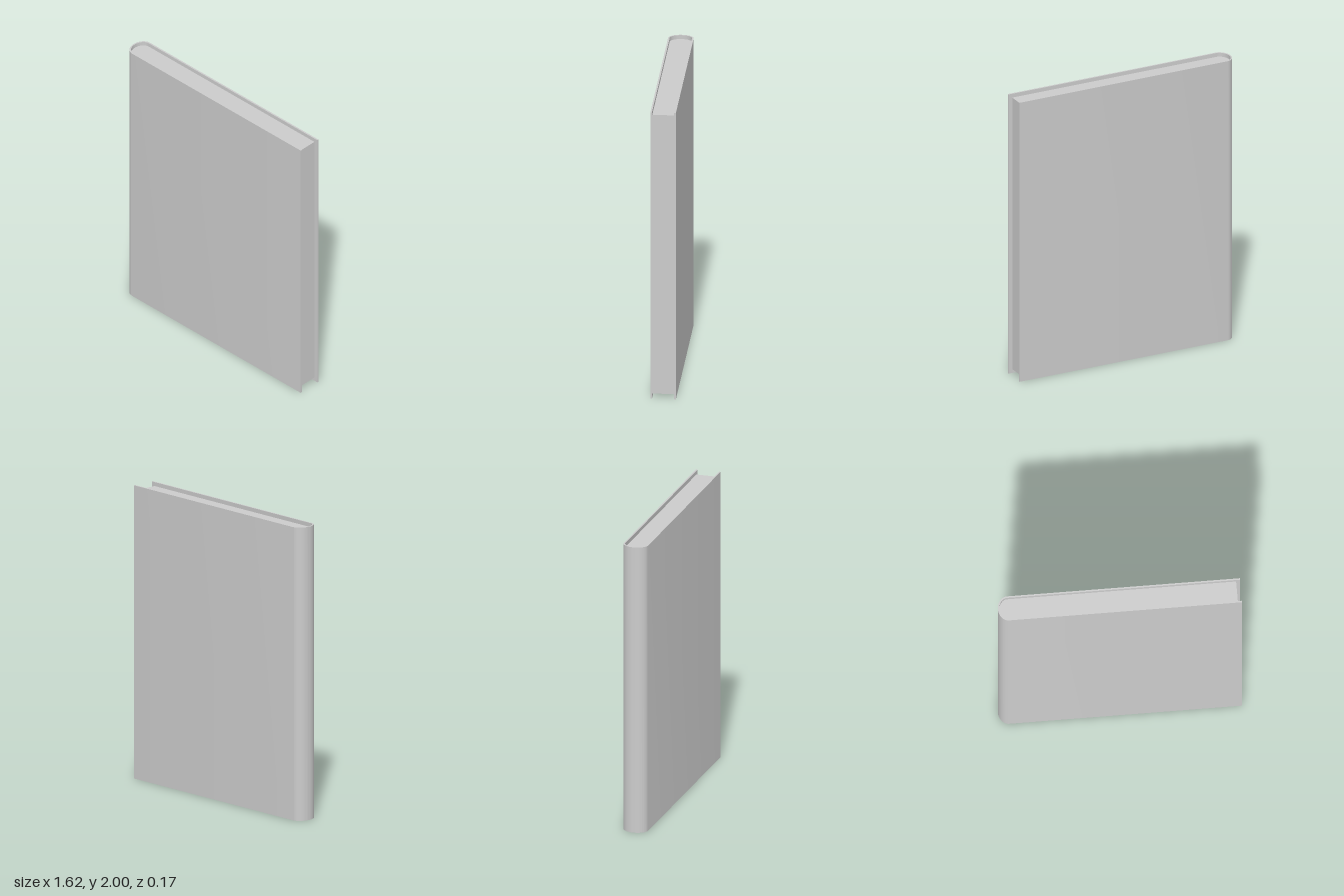
import * as THREE from 'three';
import { toCreasedNormals } from 'three/addons/utils/BufferGeometryUtils.js';

const HEIGHT = 2;
const SPINE_X = -0.74; // where the boards start to curve into the spine
const OUTER = { rx: 0.068, rz: 0.085 };
const INNER = { rx: 0.058, rz: 0.074 };

const material = new THREE.MeshStandardMaterial({ color: 0xcccccc });

// Half ellipse around the spine, running from the +side to the -side (or back)
function spineArc(shape, { rx, rz }, reverse) {
  const [a, b] = reverse ? [1.5, 0.5] : [0.5, 1.5];
  shape.absellipse(SPINE_X, 0, rx, rz, a * Math.PI, b * Math.PI, reverse);
}

// Extrudes a plan outline upward from y0 to y1
function upright(name, shape, y0, y1) {
  const geometry = new THREE.ExtrudeGeometry(shape, {
    depth: y1 - y0, bevelEnabled: false, curveSegments: 32,
  });
  geometry.rotateX(-Math.PI / 2).translate(0, y0, 0);
  const mesh = new THREE.Mesh(toCreasedNormals(geometry, 0.6), material);
  mesh.name = name;
  return mesh;
}

export function createModel() {
  const book = new THREE.Group();
  book.name = 'book';

  // Cover: two boards joined by a rounded spine, open at the fore edge
  const edge = 0.807;
  const cover = new THREE.Shape();
  cover.moveTo(edge, OUTER.rz);
  cover.lineTo(SPINE_X, OUTER.rz);
  spineArc(cover, OUTER, false);
  cover.lineTo(edge, -OUTER.rz);
  cover.lineTo(edge, -INNER.rz);
  cover.lineTo(SPINE_X, -INNER.rz);
  spineArc(cover, INNER, true);
  cover.lineTo(edge, INNER.rz);
  cover.closePath();
  book.add(upright('cover', cover, 0, HEIGHT));

  // Page block: fills the cover, set back at the top, bottom and fore edge
  const pages = new THREE.Shape();
  pages.moveTo(0.78, INNER.rz);
  pages.lineTo(SPINE_X, INNER.rz);
  spineArc(pages, INNER, false);
  pages.lineTo(0.78, -INNER.rz);
  pages.closePath();
  book.add(upright('pages', pages, 0.027, HEIGHT - 0.027));

  return book;
}
